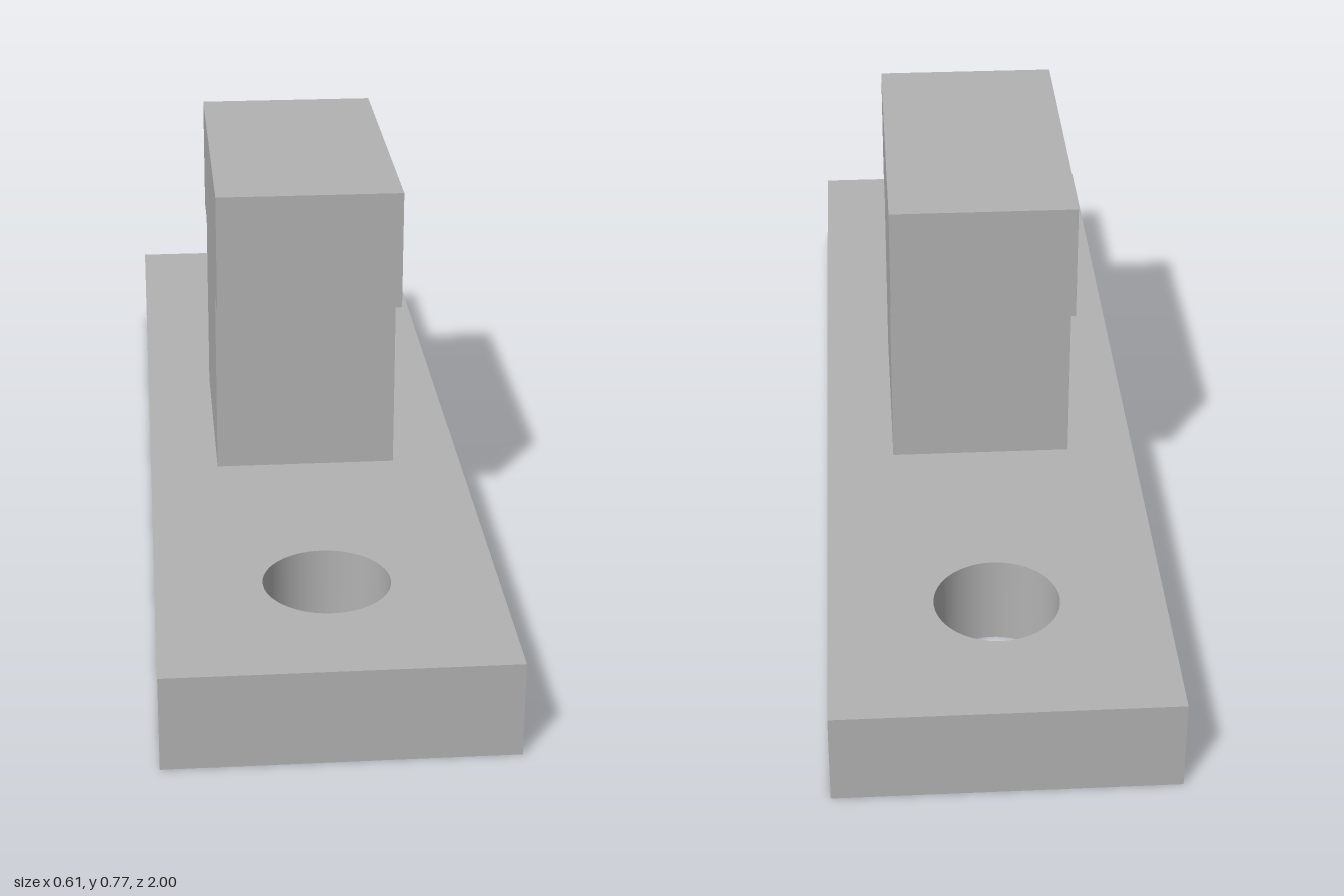
import * as THREE from 'three';

const BASE = { halfWidth: 0.305, halfLength: 1, height: 0.175 };
const HOLE = { radius: 0.114, offset: 0.695 };
const POST = { halfWidth: 0.174, stem: 0.217, head: 0.313, shoulder: 0.541, top: 0.767 };

export function createModel() {
  const model = new THREE.Group();
  model.name = 'mountingBlock';
  const grey = new THREE.MeshStandardMaterial({ color: 0xb2b2b2 });
  grey.name = 'plain grey';

  const addPart = (name, geometry) => {
    const mesh = new THREE.Mesh(geometry, grey);
    mesh.name = name;
    model.add(mesh);
  };

  // Base plate with a round bolt hole near each end
  const { halfWidth: w, halfLength: l } = BASE;
  const plate = new THREE.Shape([[-w, -l], [w, -l], [w, l], [-w, l]].map(p => new THREE.Vector2(...p)));
  for (const side of [-1, 1]) {
    const hole = new THREE.Path();
    hole.absarc(0, side * HOLE.offset, HOLE.radius, 0, Math.PI * 2, true);
    plate.holes.push(hole);
  }
  const plateGeometry = new THREE.ExtrudeGeometry(plate, {
    depth: BASE.height, bevelEnabled: false, curveSegments: 64,
  });
  plateGeometry.rotateX(-Math.PI / 2);
  addPart('basePlate', plateGeometry);

  // T-shaped post: half profile (z, y), mirrored, extruded across x
  const half = [[POST.stem, BASE.height], [POST.stem, POST.shoulder], [POST.head, POST.shoulder], [POST.head, POST.top]];
  const mirrored = half.map(([z, y]) => [-z, y]).reverse();
  const profile = new THREE.Shape([...half, ...mirrored].map(p => new THREE.Vector2(...p)));
  const postGeometry = new THREE.ExtrudeGeometry(profile, { depth: POST.halfWidth * 2, bevelEnabled: false });
  postGeometry.translate(0, 0, -POST.halfWidth);
  postGeometry.rotateY(Math.PI / 2);
  addPart('teePost', postGeometry);

  return model;
}
